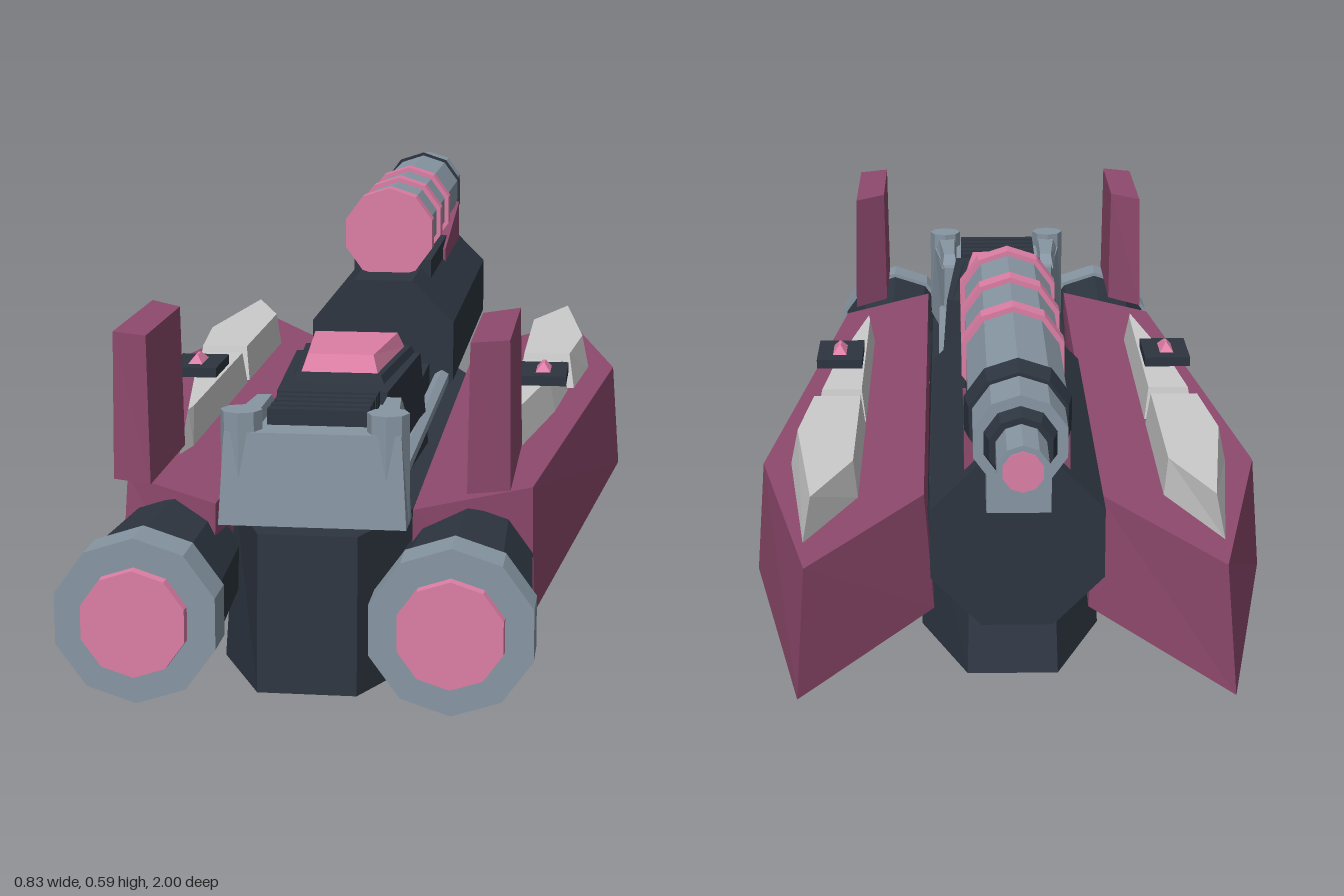
import * as THREE from 'three';

const mat = (color) => new THREE.MeshStandardMaterial({ color, flatShading: true });
const MAROON = mat(0x8f4a6e), PINK = mat(0xdd7fa6), DARK = mat(0x2d3540);
const STEEL = mat(0x8796a3), PALE = mat(0xcccccc);

// Flat-sided prism between two [x, z] outlines at heights y0 and y1
function prismGeometry(bottom, y0, top, y1) {
  const n = top.length;
  let area = 0;
  top.forEach(([x, z], i) => {
    const [x2, z2] = top[(i + 1) % n];
    area += z * x2 - x * z2;
  });
  const b = bottom.map(([x, z]) => [x, y0, z]);
  const t = top.map(([x, z]) => [x, y1, z]);
  if (area > 0) { b.reverse(); t.reverse(); }
  const pos = [];
  const tri = (...p) => p.forEach((v) => pos.push(...v));
  for (let i = 0; i < n; i++) {
    const j = (i + 1) % n;
    tri(b[i], t[j], b[j]);
    tri(b[i], t[i], t[j]);
    if (i > 0 && j > 0) {
      tri(t[0], t[j], t[i]);
      tri(b[0], b[i], b[j]);
    }
  }
  const g = new THREE.BufferGeometry();
  g.setAttribute('position', new THREE.Float32BufferAttribute(pos, 3));
  g.computeVertexNormals();
  return g;
}

export function createModel() {
  const model = new THREE.Group();
  model.name = 'hoverCraft';

  const add = (name, geometry, material) => {
    const mesh = new THREE.Mesh(geometry, material);
    mesh.name = name;
    model.add(mesh);
    return mesh;
  };
  const prism = (name, material, bottom, y0, top, y1) =>
    add(name, prismGeometry(bottom, y0, top, y1), material);
  const box = (name, material, x0, x1, y0, y1, z0, z1) =>
    add(name, new THREE.BoxGeometry(Math.abs(x1 - x0), y1 - y0, z1 - z0), material)
      .position.set((x0 + x1) / 2, (y0 + y1) / 2, (z0 + z1) / 2);
  // Faceted tube along z, r0 at z0 and r1 at z1
  const tube = (name, material, x, y, z0, z1, r0, r1 = r0, sides = 10, turn = 0) => {
    const g = new THREE.CylinderGeometry(r1, r0, z1 - z0, sides).rotateY(turn).rotateX(Math.PI / 2);
    add(name, g, material).position.set(x, y, (z0 + z1) / 2);
  };
  // Outline symmetric about x = 0, from its +x half
  const sym = (half) => [...half, ...half.map(([x, z]) => [-x, z]).reverse()];

  // Keel and centre deck
  prism('keel', DARK,
    sym([[0.07, -0.525], [0.143, -0.33], [0.143, 0.7], [0.07, 0.855]]), 0,
    sym([[0.065, -0.44], [0.13, -0.28], [0.13, 0.68], [0.07, 0.84]]), 0.225);
  box('deck', DARK, -0.082, 0.082, 0.2, 0.29, -0.1, 0.6);

  // Cockpit and hatch
  prism('cockpit', DARK,
    sym([[0.112, 0.27], [0.095, 0.6]]), 0.22,
    sym([[0.1, 0.285], [0.082, 0.59]]), 0.375);
  prism('hatchBase', DARK,
    sym([[0.09, 0.28], [0.07, 0.53]]), 0.375,
    sym([[0.085, 0.285], [0.065, 0.525]]), 0.387);
  prism('hatch', PINK,
    sym([[0.075, 0.295], [0.058, 0.51]]), 0.387,
    sym([[0.066, 0.31], [0.05, 0.495]]), 0.412);

  // Rear block with vents
  prism('rearBlock', STEEL,
    sym([[0.108, 0.58], [0.133, 0.73], [0.133, 0.8]]), 0.225,
    sym([[0.105, 0.58], [0.125, 0.74], [0.125, 0.79]]), 0.357);
  for (let i = 0; i < 5; i++) {
    const z = 0.6 + i * 0.03;
    box('vent', DARK, -0.072, 0.072, 0.35, 0.38, z, z + 0.019);
  }

  // Main gun housing, cradle and barrel
  tube('gunHousing', DARK, 0, 0.312, -0.765, -0.05, 0.134, 0.134, 8, Math.PI / 8);
  box('gunSaddle', DARK, -0.07, 0.07, 0.4, 0.45, -0.7, -0.2);
  const wedge = new THREE.Shape([[0.43, 0.41], [0.735, 0.4], [0.735, 0.487], [0.43, 0.435]]
    .map(([x, y]) => new THREE.Vector2(x, y)));
  const cradle = new THREE.ExtrudeGeometry(wedge, { depth: 0.15, bevelEnabled: false });
  add('gunCradle', cradle.translate(0, 0, -0.075).rotateY(Math.PI / 2), MAROON);
  const by = 0.505;
  tube('barrel', STEEL, 0, by, -0.76, -0.15, 0.073);
  for (const z of [-0.175, -0.34, -0.505]) tube('barrelRing', PINK, 0, by, z, z + 0.035, 0.081);
  tube('barrelCollar', DARK, 0, by, -0.8, -0.755, 0.072, 0.079);
  tube('barrelNeck', STEEL, 0, by, -0.885, -0.8, 0.067);
  tube('muzzleCollar', DARK, 0, by, -0.912, -0.885, 0.045, 0.052);
  tube('muzzle', STEEL, 0, by, -0.998, -0.912, 0.036);
  tube('muzzleCore', PINK, 0, by, -1, -0.99, 0.028);
  box('muzzleBracket', STEEL, -0.045, 0.045, 0.38, 0.5, -0.82, -0.75);

  for (const s of [1, -1]) {
    const side = (pts) => pts.map(([x, z]) => [s * x, z]);

    // Side hull
    prism('sideHull', MAROON,
      side([[0.122, -0.43], [0.318, -0.757], [0.413, -0.26], [0.305, 0.67], [0.14, 0.8]]), 0.07,
      side([[0.137, -0.4], [0.308, -0.7], [0.4, -0.25], [0.3, 0.635], [0.14, 0.78]]), 0.25);

    // Armour plates
    prism('frontPlate', PALE,
      side([[0.24, -0.41], [0.315, -0.6], [0.355, -0.25], [0.335, -0.06], [0.24, -0.06]]), 0.25,
      side([[0.247, -0.4], [0.305, -0.56], [0.343, -0.25], [0.326, -0.075], [0.247, -0.075]]), 0.308);
    prism('rearPlate', PALE,
      side([[0.24, -0.04], [0.325, -0.04], [0.31, 0.13], [0.25, 0.5], [0.24, 0.44]]), 0.25,
      side([[0.247, -0.03], [0.315, -0.03], [0.3, 0.12], [0.25, 0.43], [0.247, 0.4]]), 0.305);

    // Control pad
    box('pad', DARK, s * 0.25, s * 0.33, 0.308, 0.324, 0.08, 0.2);
    prism('padLight', PINK,
      side([[0.279, 0.11], [0.303, 0.11], [0.303, 0.17], [0.279, 0.17]]), 0.324,
      side([[0.289, 0.125], [0.293, 0.125], [0.293, 0.155], [0.289, 0.155]]), 0.337);

    // Rails beside the deck
    tube('rail', STEEL, s * 0.104, 0.265, -0.06, 0.6, 0.014, 0.014, 6);

    // Tail fin
    prism('tailFin', MAROON,
      side([[0.22, 0.6], [0.278, 0.54], [0.278, 0.81], [0.22, 0.835]]).map(([x, z]) => [x, z]), 0.29,
      side([[0.223, 0.605], [0.275, 0.555], [0.275, 0.81], [0.223, 0.835]]), 0.5);

    // Corner posts and cheeks of the rear block
    prism('blockCheek', STEEL,
      side([[0.08, 0.6], [0.11, 0.6], [0.128, 0.78], [0.08, 0.78]]), 0.35,
      side([[0.085, 0.62], [0.106, 0.62], [0.118, 0.77], [0.085, 0.77]]), 0.375);
    add('cornerPost', new THREE.CylinderGeometry(0.03, 0.03, 0.16, 8), STEEL)
      .position.set(s * 0.104, 0.305, 0.765);

    // Engine
    tube('engineBody', DARK, s * 0.212, 0.14, 0.7, 0.92, 0.097, 0.108);
    tube('engineRing', STEEL, s * 0.212, 0.14, 0.92, 0.985, 0.115);
    tube('engineGlow', PINK, s * 0.212, 0.14, 0.97, 1, 0.076, 0.074);
  }
  return model;
}
